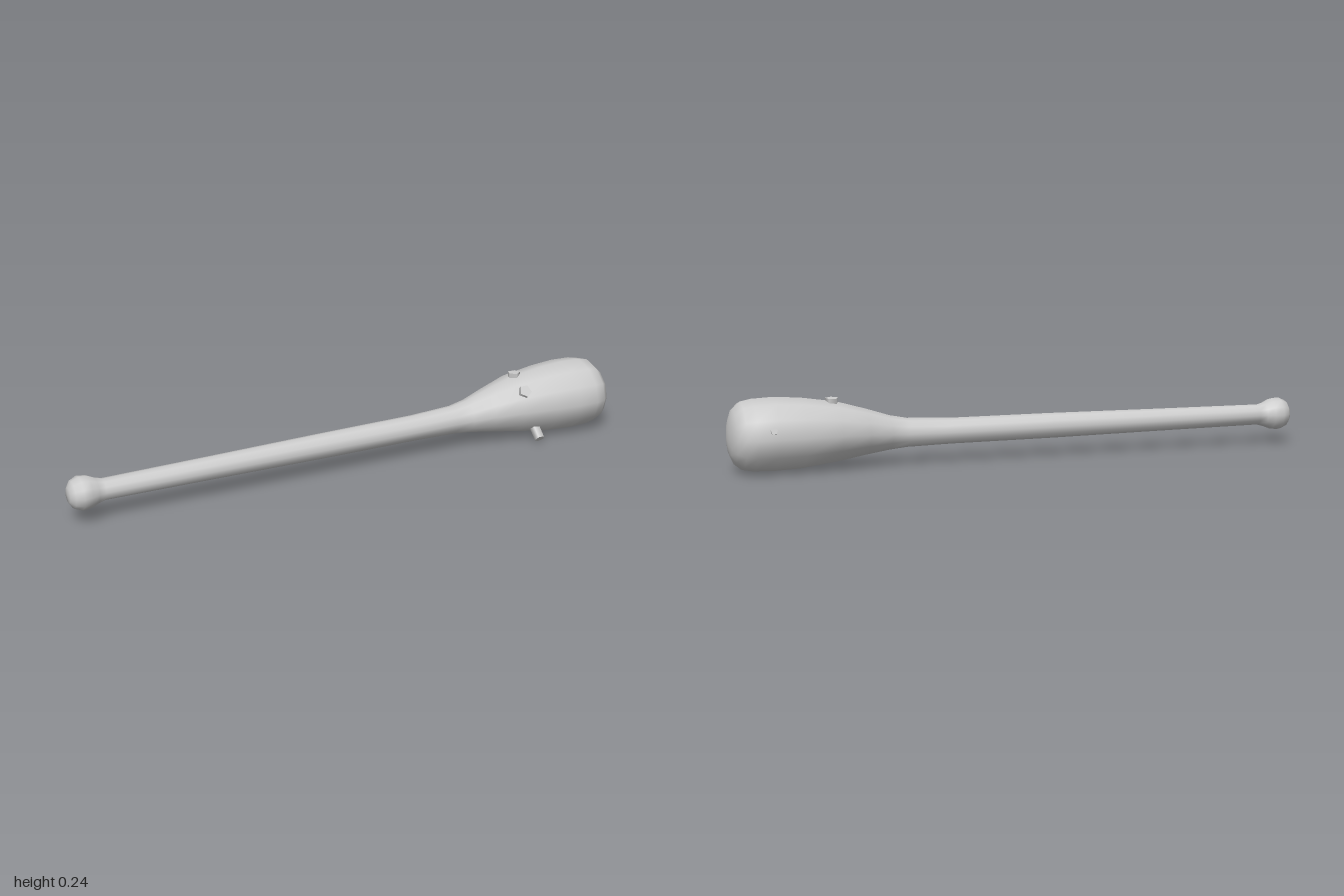
import * as THREE from 'three';

const SIDES = 12;

// Smooth skin through elliptical rings along x: [x, centreY, centreZ, radiusY, radiusZ]
function loft(rings) {
  const pos = [], index = [];
  for (const [x, cy, cz, ry, rz] of rings) {
    for (let i = 0; i < SIDES; i++) {
      const a = (i / SIDES) * Math.PI * 2;
      pos.push(x, cy + Math.cos(a) * ry, cz + Math.sin(a) * rz);
    }
  }
  for (let r = 0; r < rings.length - 1; r++) {
    for (let i = 0; i < SIDES; i++) {
      const a = r * SIDES + i, b = r * SIDES + (i + 1) % SIDES;
      index.push(a, b, a + SIDES, b, b + SIDES, a + SIDES);
    }
  }
  // Close both ends with a centre point
  const last = (rings.length - 1) * SIDES;
  const first = rings[0], end = rings[rings.length - 1];
  const c0 = pos.length / 3, c1 = c0 + 1;
  pos.push(first[0] - 0.002, first[1], first[2], end[0] + 0.003, end[1], end[2]);
  for (let i = 0; i < SIDES; i++) {
    const j = (i + 1) % SIDES;
    index.push(c0, j, i, c1, last + i, last + j);
  }
  const g = new THREE.BufferGeometry();
  g.setAttribute('position', new THREE.Float32BufferAttribute(pos, 3));
  g.setIndex(index);
  g.computeVertexNormals();
  return g;
}

export function createModel() {
  const model = new THREE.Group();
  model.name = 'club';
  const grey = new THREE.MeshStandardMaterial({ color: 0xcccccc });
  grey.name = 'plain grey';

  // Knob, tapering handle and swollen head in one continuous skin
  const body = new THREE.Mesh(loft([
    [-0.998, 0.107, 0.003, 0.026, 0.026],
    [-0.985, 0.107, 0.003, 0.046, 0.046],
    [-0.96, 0.107, 0.003, 0.057, 0.058],
    [-0.93, 0.107, 0.003, 0.054, 0.054],
    [-0.905, 0.106, 0.003, 0.043, 0.043],
    [-0.88, 0.106, 0.004, 0.036, 0.036],
    [-0.5, 0.106, 0.004, 0.039, 0.039],
    [-0.1, 0.106, 0.004, 0.043, 0.043],
    [0.25, 0.106, 0.004, 0.044, 0.046],
    [0.4, 0.108, 0.004, 0.049, 0.05],
    [0.46, 0.111, 0.003, 0.058, 0.058],
    [0.54, 0.118, 0.001, 0.077, 0.08],
    [0.64, 0.124, -0.002, 0.1, 0.108],
    [0.76, 0.125, 0, 0.117, 0.126],
    [0.85, 0.126, 0.001, 0.122, 0.136],
    [0.92, 0.126, 0.001, 0.119, 0.136],
    [0.955, 0.126, 0.001, 0.112, 0.126],
    [0.98, 0.124, 0.002, 0.09, 0.1],
    [0.992, 0.121, 0.003, 0.06, 0.065],
    [0.997, 0.119, 0.004, 0.03, 0.032],
  ]), grey);
  body.name = 'clubBody';
  model.add(body);

  // Five-sided pegs set in the head: [tip, outward direction, radius, length]
  const pegs = [
    [[0.7, 0.018, 0.108], [0, -0.66, 0.75], 0.018, 0.09],
    [[0.65, 0.199, 0.083], [0, 0.66, 0.75], 0.023, 0.05],
    [[0.655, 0.237, -0.008], [0, 1, -0.05], 0.022, 0.05],
    [[0.87, 0.157, -0.133], [0, 0.3, -0.95], 0.012, 0.04],
  ];
  const up = new THREE.Vector3(0, 1, 0);
  pegs.forEach(([tip, dir, radius, length], i) => {
    const d = new THREE.Vector3(...dir).normalize();
    const peg = new THREE.Mesh(new THREE.CylinderGeometry(radius, radius, length, 5), grey);
    peg.quaternion.setFromUnitVectors(up, d);
    peg.position.set(...tip).addScaledVector(d, -length / 2);
    peg.name = 'peg' + (i + 1);
    model.add(peg);
  });
  return model;
}
